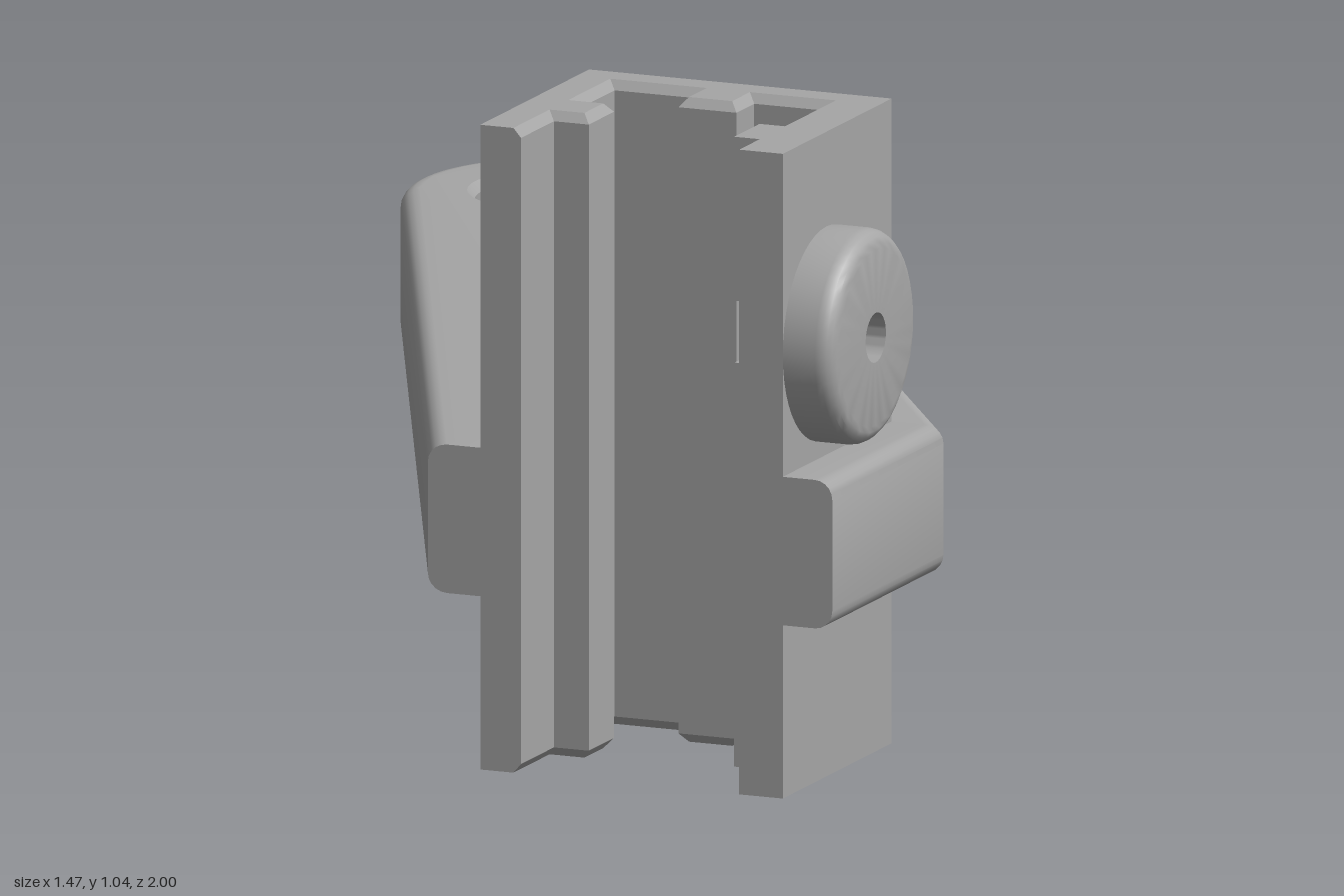
import * as THREE from 'three';
import { mergeGeometries, toCreasedNormals } from 'three/addons/utils/BufferGeometryUtils.js';
import { ConvexGeometry } from 'three/addons/geometries/ConvexGeometry.js';

const grey = new THREE.MeshStandardMaterial({ color: 0xa6a6a6 });
grey.name = 'plain grey';

function part(name, geometry, crease = 0.6) {
  const mesh = new THREE.Mesh(toCreasedNormals(geometry, crease), grey);
  mesh.name = name;
  return mesh;
}

// Flat lid from an [x, z] outline at height y, with an optional round hole
function lid(ring, y, up, hole) {
  const s = up ? -1 : 1;
  const shape = new THREE.Shape(ring.map(([x, z]) => new THREE.Vector2(x, s * z)));
  if (hole) {
    shape.holes.push(new THREE.Path().absarc(hole.x, s * hole.z, hole.r, 0, Math.PI * 2, true));
  }
  const g = new THREE.ShapeGeometry(shape, 24).rotateX(s * Math.PI / 2).translate(0, y, 0).toNonIndexed();
  g.deleteAttribute('uv');
  return g;
}

// Solid from stacked rings { y, ring }, each counter-clockwise seen from above
function loft(levels, bottomHole, topHole) {
  const p = [];
  for (let k = 0; k < levels.length - 1; k++) {
    const lo = levels[k], hi = levels[k + 1], n = lo.ring.length;
    for (let i = 0; i < n; i++) {
      const j = (i + 1) % n;
      const at = (l, q) => [l.ring[q][0], l.y, l.ring[q][1]];
      const a = at(lo, i), b = at(lo, j), c = at(hi, i), d = at(hi, j);
      p.push(...a, ...b, ...d, ...a, ...d, ...c);
    }
  }
  const sides = new THREE.BufferGeometry();
  sides.setAttribute('position', new THREE.Float32BufferAttribute(p, 3));
  sides.computeVertexNormals();
  const first = levels[0], last = levels[levels.length - 1];
  return mergeGeometries([sides, lid(first.ring, first.y, false, bottomHole), lid(last.ring, last.y, true, topHole)]);
}

function lathe(points) {
  return new THREE.LatheGeometry(points.map(([r, y]) => new THREE.Vector2(r, y)), 48);
}

// Tapered arm outline, inset by d; it wraps round the clamp block
const eye = { x: -0.48, z: -0.74, r: 0.26 };
function tangentAngle(x, z, side) {
  const dx = x - eye.x, dz = z - eye.z;
  return Math.atan2(dz, dx) + side * Math.acos(eye.r / Math.hypot(dx, dz));
}
function armRing(d) {
  const r = eye.r - d, x = 0.735 - d;
  const left = tangentAngle(0.04, 1, 1), right = tangentAngle(0.735, 0.56, -1);
  const xLeft = eye.x + (r - Math.sin(left) * (1 - eye.z)) / Math.cos(left);
  const zRight = eye.z + (r - Math.cos(right) * (x - eye.x)) / Math.sin(right);
  const ring = [[xLeft, 1], [0.13, 1], [0.13, 0.57], [0.65, 0.57], [0.65, 1], [x, 1], [x, zRight]];
  for (let i = 0; i <= 32; i++) {
    const a = right + (left - Math.PI * 2 - right) * i / 32;
    ring.push([eye.x + r * Math.cos(a), eye.z + r * Math.sin(a)]);
  }
  return ring;
}

// Left and back walls of the clamp block with their ribs; c widens the channel
function blockRing(c) {
  return [
    [0.13, 1], [0.2 - c, 1], [0.2 - c, 0.87 - c], [0.26 - c, 0.87 - c], [0.26 - c, 0.77 + c],
    [0.2 - c, 0.77 + c], [0.2 - c, 0.63 - c], [0.34 + c, 0.63 - c], [0.34 + c, 0.7 - c],
    [0.44 - c, 0.7 - c], [0.44 - c, 0.63 - c], [0.65, 0.63 - c], [0.65, 0.57], [0.13, 0.57],
  ];
}

// Wedge between two end lines: [x, yOuter, z] at the block and at the tip
function gusset(name, root, tip) {
  const pts = [];
  for (const [x, y, z] of [root, tip]) {
    for (const w of [0, 0.175]) {
      pts.push(new THREE.Vector3(x + w, y, z), new THREE.Vector3(x + w, 0.4, z));
    }
  }
  return part(name, new ConvexGeometry(pts), 0.2);
}

export function createModel() {
  const model = new THREE.Group();
  model.name = 'clampBracket';

  // Arm with rounded upper and lower edges
  const f = 0.03, levels = [];
  for (let i = 0; i <= 5; i++) {
    const a = i / 5 * Math.PI / 2;
    levels.push({ y: 0.28 + f * (1 - Math.cos(a)), ring: armRing(f * (1 - Math.sin(a))) });
  }
  for (const l of levels.slice().reverse()) levels.push({ y: 0.8 - l.y, ring: l.ring });
  model.add(part('arm', loft(levels, { ...eye, r: 0.075 }, { ...eye, r: 0.155 })));

  // Counterbored hole at the arm's end
  const bore = part('armBore', lathe([[0.155, 0.52], [0.143, 0.505], [0.143, 0.34], [0.075, 0.34], [0.075, 0.28]]));
  bore.position.set(eye.x, 0, eye.z);
  model.add(bore);

  // Clamp block with chamfered channel mouth
  const c = 0.013;
  model.add(part('clampBlock', loft([
    { y: 0, ring: blockRing(c) }, { y: 0.015, ring: blockRing(0) },
    { y: 1.027, ring: blockRing(0) }, { y: 1.042, ring: blockRing(c) },
  ])));

  // Side wall pierced by the screw hole
  const screw = { y: 0.717, z: 0.828, r: 0.04 };
  const wall = new THREE.Shape([[-1, 0], [-0.61, 0], [-0.61, 1.042], [-1, 1.042]].map(([u, v]) => new THREE.Vector2(u, v)));
  wall.holes.push(new THREE.Path().absarc(-screw.z, screw.y, screw.r, 0, Math.PI * 2, true));
  const wallGeo = new THREE.ExtrudeGeometry(wall, { depth: 0.075, bevelEnabled: false, curveSegments: 24 });
  model.add(part('screwWall', wallGeo.rotateY(Math.PI / 2).translate(0.575, 0, 0)));

  // Rib on the side wall, interrupted at the screw
  for (const [y0, y1] of [[0.012, 0.665], [0.765, 1.03]]) {
    const rib = part('screwWallRib', new THREE.BoxGeometry(0.065, y1 - y0, 0.1));
    rib.position.set(0.5425, (y0 + y1) / 2, 0.82);
    model.add(rib);
  }

  // Round screw boss
  const profile = [[0.172, 0]];
  for (let i = 0; i <= 5; i++) {
    const a = i / 5 * Math.PI / 2;
    profile.push([0.142 + 0.03 * Math.cos(a), 0.055 + 0.03 * Math.sin(a)]);
  }
  profile.push([screw.r, 0.085], [screw.r, 0]);
  const boss = part('screwBoss', lathe(profile).rotateZ(-Math.PI / 2));
  boss.position.set(0.65, screw.y, screw.z);
  model.add(boss);

  // Stiffening gussets above and below the arm
  model.add(gusset('upperGusset', [0.3, 1.042, 0.57], [-0.215, 0.52, -0.335]));
  model.add(gusset('lowerGusset', [0.31, 0, 0.57], [-0.285, 0.245, -0.385]));

  return model;
}
